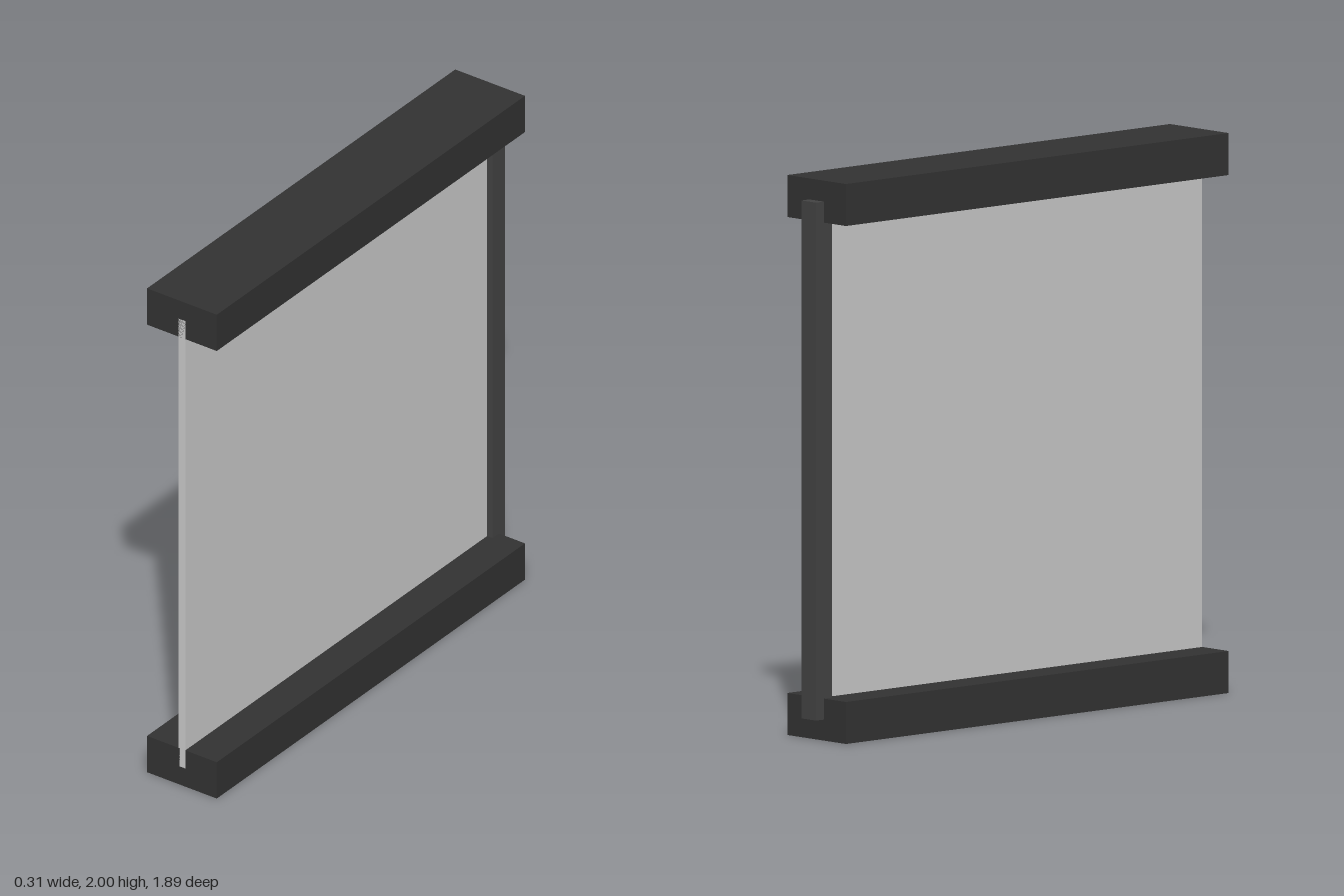
import * as THREE from 'three';

const railMaterial = new THREE.MeshStandardMaterial({ color: 0x333333 });
const postMaterial = new THREE.MeshStandardMaterial({ color: 0x444444 });
const panelMaterial = new THREE.MeshStandardMaterial({ color: 0xcccccc });

// Box centred on x = 0, spanning the given y and z ranges
function bar(name, width, [y0, y1], [z0, z1], material) {
  const mesh = new THREE.Mesh(new THREE.BoxGeometry(width, y1 - y0, z1 - z0), material);
  mesh.name = name;
  mesh.position.set(0, (y0 + y1) / 2, (z0 + z1) / 2);
  return mesh;
}

export function createModel() {
  const model = new THREE.Group();
  model.name = 'panelFrame';

  const front = 0.943;
  const railBack = -0.905;

  model.add(
    // Wide rails, with the panel and post let halfway into them
    bar('bottomRail', 0.305, [0, 0.15], [railBack, front], railMaterial),
    bar('panel', 0.03, [0.075, 1.925], [railBack, front], panelMaterial),
    bar('topRail', 0.305, [1.85, 2], [railBack, front], railMaterial),
    // Square post straddling the back ends of the rails
    bar('backPost', 0.076, [0.075, 1.925], [-0.943, -0.867], postMaterial),
  );
  return model;
}
